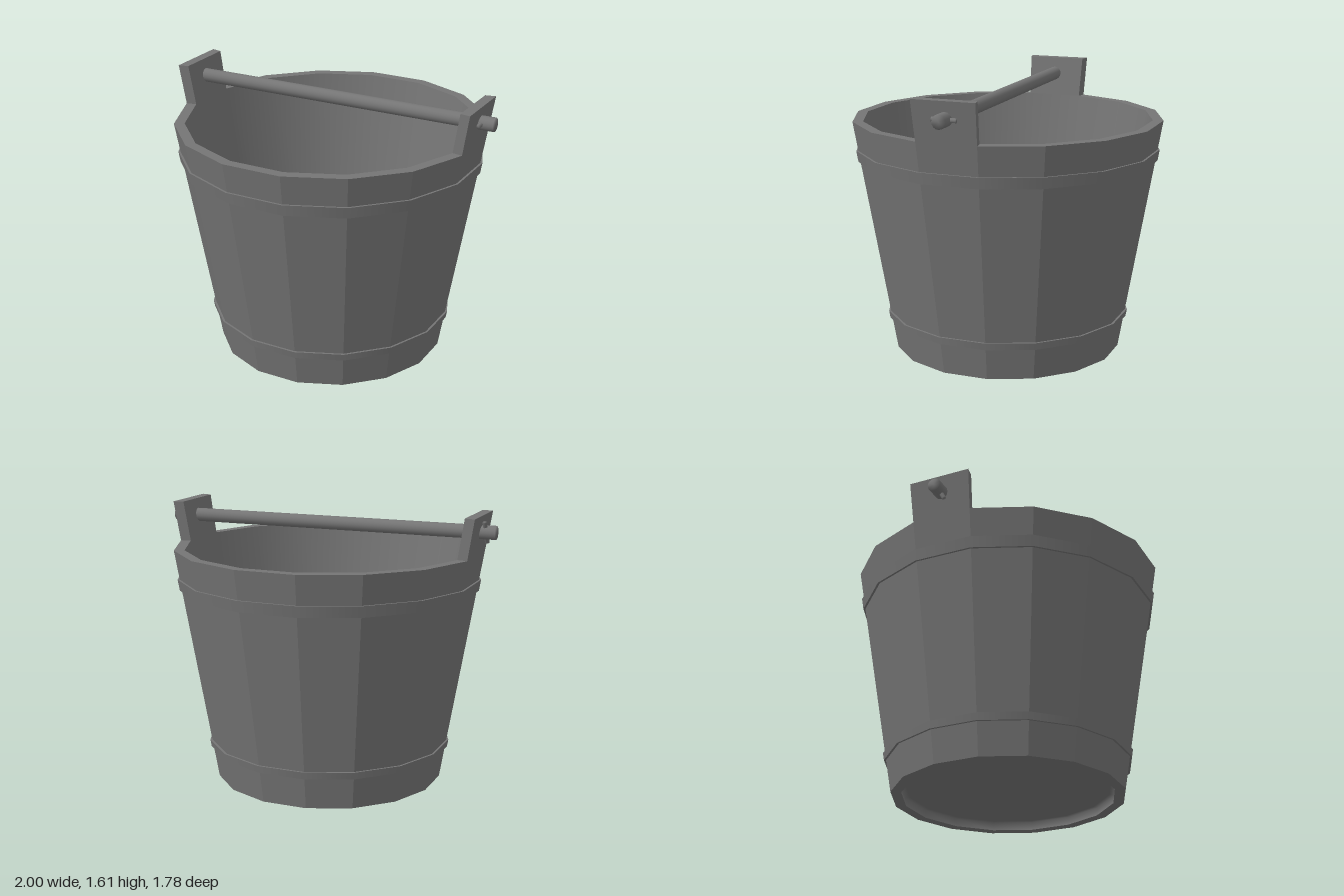
import * as THREE from 'three';
import { mergeVertices } from 'three/addons/utils/BufferGeometryUtils.js';

const SIDES = 16;
const HALF = Math.PI / SIDES;
const RIM = 1.38;
const SLOPE = (0.89 - 0.66) / RIM;
const WALL = 0.06;

// distance from the axis to the middle of an outer or inner facet at height y
const outer = (y) => 0.66 + SLOPE * y;
const inner = (y) => outer(y) - WALL;

const flat = new THREE.MeshStandardMaterial({ color: 0x757575, flatShading: true });
const smooth = new THREE.MeshStandardMaterial({ color: 0x757575 });

function add(group, name, geometry, material) {
  const mesh = new THREE.Mesh(geometry, material);
  mesh.name = name;
  group.add(mesh);
  return mesh;
}

// 16-sided ring from [facet distance, height] pairs, with facets square to the axes
function facetLathe(profile) {
  const points = profile.map(([d, y]) => new THREE.Vector2(d / Math.cos(HALF), y));
  return new THREE.LatheGeometry(points, SIDES, HALF);
}

// one facet of the wall carried on above the rim
function lugGeometry(top) {
  const geometry = new THREE.BoxGeometry(1, 1, 1);
  const p = geometry.attributes.position;
  for (let i = 0; i < p.count; i++) {
    const y = p.getY(i) > 0 ? top : RIM;
    const x = p.getX(i) > 0 ? outer(y) : inner(y);
    p.setXYZ(i, x, y, Math.sign(p.getZ(i)) * x * Math.tan(HALF));
  }
  return geometry;
}

// round bar whose ends are shaded softly into its side
function barGeometry(radius, length, sides) {
  const bar = new THREE.CylinderGeometry(radius, radius, length, sides);
  bar.deleteAttribute('normal');
  bar.deleteAttribute('uv');
  const merged = mergeVertices(bar);
  merged.computeVertexNormals();
  return merged;
}

export function createModel() {
  const model = new THREE.Group();
  model.name = 'bucket';

  // tub, turned very slightly against the handle
  const tub = new THREE.Group();
  tub.name = 'tub';
  tub.rotation.y = -0.009;
  model.add(tub);

  // tapered wall: faceted outside with rims, smooth inside
  const y0 = 0.05, y1 = 0.18;
  add(tub, 'outerWall', facetLathe([[outer(0), 0], [outer(RIM), RIM]]), flat);
  add(tub, 'topRim', facetLathe([[outer(RIM), RIM], [inner(RIM), RIM]]), flat);
  add(tub, 'innerWall', facetLathe([[inner(RIM), RIM], [inner(y1), y1]]), smooth);
  add(tub, 'bottomRim', facetLathe([[inner(0), 0], [outer(0), 0]]), flat);

  // floor, with a recessed underside that runs softly into the wall
  add(tub, 'floor', facetLathe([[inner(y1), y1], [0, y1]]), flat);
  add(tub, 'underside', facetLathe([
    [0, y0], [inner(y0) - 0.03, y0], [inner(y0), y0], [inner(0), 0],
  ]), smooth);

  // hoops: a smooth band with flat edges
  for (const [name, a, b] of [['lowerHoop', 0.188, 0.23], ['upperHoop', 1.145, 1.21]]) {
    const t = 0.012;
    add(tub, name + 'Band', facetLathe([[outer(a) + t, a], [outer(b) + t, b]]), smooth);
    add(tub, name + 'TopEdge', facetLathe([[outer(b) + t, b], [outer(b), b]]), flat);
    add(tub, name + 'BottomEdge', facetLathe([[outer(a), a], [outer(a) + t, a]]), flat);
  }

  // lugs that carry the handle
  const lug = lugGeometry(1.613);
  add(tub, 'leftLug', lug, flat);
  add(tub, 'rightLug', lug, flat).rotation.y = Math.PI;

  // handle rod
  const handleY = 1.515;
  const rod = add(model, 'handle', barGeometry(0.04, 2, 16), smooth);
  rod.rotation.z = Math.PI / 2;
  rod.position.y = handleY;

  // pins through the ends of the rod
  const pin = barGeometry(0.013, 0.14, 10);
  for (const [name, x, turn] of [['leftPin', 0.93, Math.PI / 2], ['rightPin', -0.94, -0.5]]) {
    const mesh = add(model, name, pin, smooth);
    mesh.position.set(x, handleY, 0);
    mesh.rotation.x = turn;
  }

  return model;
}
